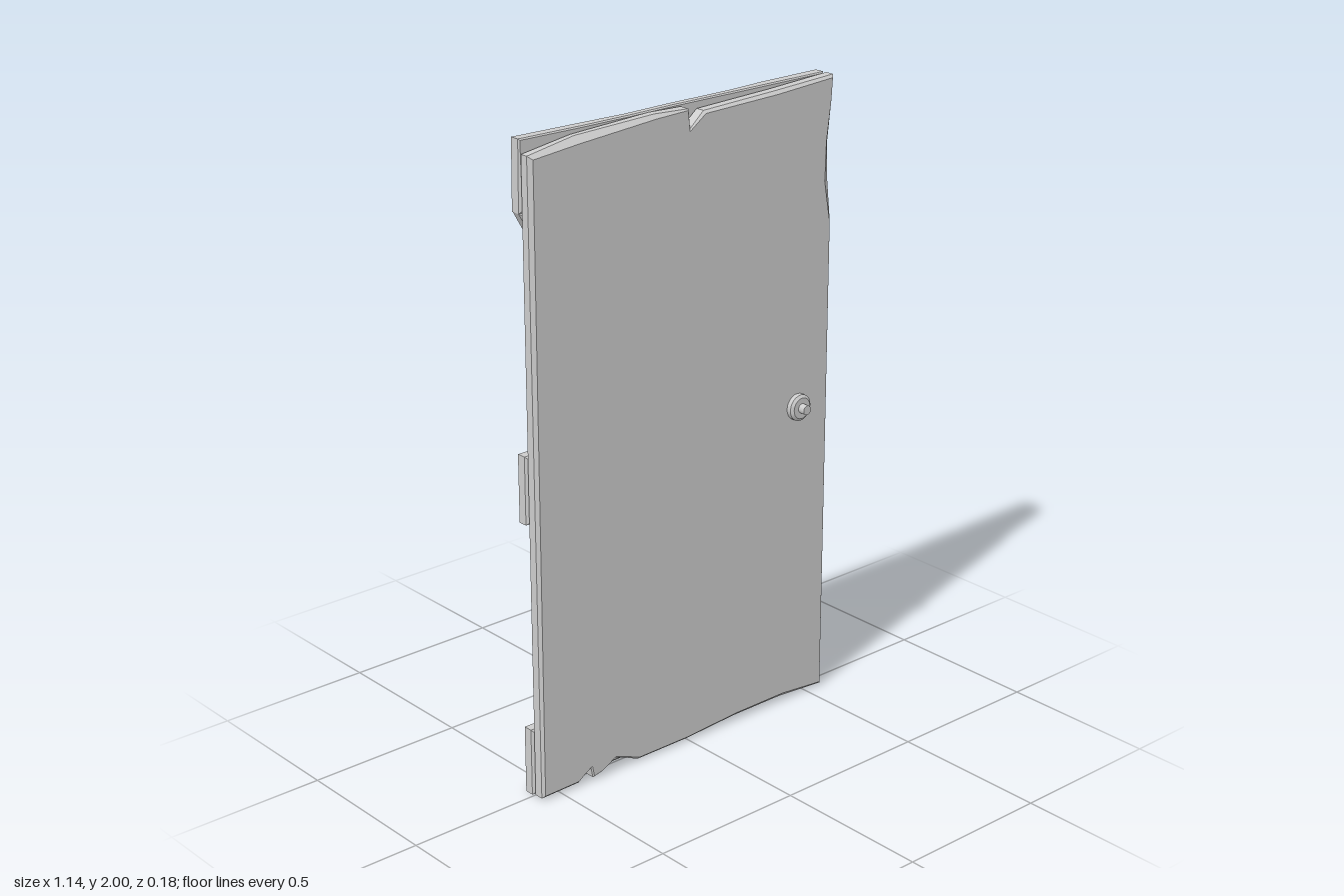
import * as THREE from 'three';
import { toCreasedNormals } from 'three/addons/utils/BufferGeometryUtils.js';

const grey = new THREE.MeshStandardMaterial({ color: 0xcccccc });
grey.name = 'plain grey';

// Board from a counter-clockwise outline of [x, y, frontWear, backWear];
// wear is the width of the chamfer at that corner.
function board(name, outline, z0, z1, edge = 0.008) {
  const n = outline.length;
  const inward = outline.map(([x, y], i) => {
    const p = outline[(i + n - 1) % n], q = outline[(i + 1) % n];
    const a = new THREE.Vector2(-(y - p[1]), x - p[0]).normalize();
    const b = new THREE.Vector2(-(q[1] - y), q[0] - x).normalize();
    return a.clone().add(b).divideScalar(Math.max(0.5, 1 + a.dot(b)));
  });
  const depth = (w) => Math.min(w, (z1 - z0) * 0.47);
  const ring = (wearIndex, inset, z, dir) => outline.map((p, i) => {
    const w = p[wearIndex] ?? edge;
    const s = inset ? w : 0;
    return [p[0] + inward[i].x * s, p[1] + inward[i].y * s, inset ? z : z + dir * depth(w)];
  });
  const rings = [ring(3, true, z0, 1), ring(3, false, z0, 1), ring(2, false, z1, -1), ring(2, true, z1, -1)];
  const index = [];
  for (let k = 0; k < 3; k++) {
    for (let i = 0; i < n; i++) {
      const j = (i + 1) % n, a = k * n + i, b = k * n + j;
      index.push(a, b, b + n, a, b + n, a + n);
    }
  }
  // Flat faces front and back
  const cap = (r) => THREE.ShapeUtils.triangulateShape(r.map((p) => new THREE.Vector2(p[0], p[1])), []);
  for (const [a, b, c] of cap(rings[3])) index.push(a + 3 * n, b + 3 * n, c + 3 * n);
  for (const [a, b, c] of cap(rings[0])) index.push(c, b, a);
  const g = new THREE.BufferGeometry();
  g.setAttribute('position', new THREE.Float32BufferAttribute(rings.flat(2), 3));
  g.setIndex(index);
  const mesh = new THREE.Mesh(toCreasedNormals(g, 0.5), grey);
  mesh.name = name;
  return mesh;
}

export function createModel() {
  const door = new THREE.Group();
  door.name = 'door';
  const F = 0.045, B = -0.045;

  // Front panel with chipped top and bottom edges
  door.add(board('frontPanel', [
    [-0.57, 0.006], [-0.43, 0.008], [-0.405, 0.03, 0.005], [-0.385, 0.042, 0.004],
    [-0.378, 0.008, 0.004], [-0.34, 0.015, 0.005], [-0.29, 0.042, 0.005], [-0.25, 0.028, 0.005],
    [-0.2, 0.004], [0, 0.004], [0.2, 0.012, 0.012], [0.4, 0.01, 0.015], [0.57, 0.002],
    [0.57, 1.55], [0.568, 1.68, 0.03], [0.565, 1.8, 0.024], [0.57, 1.93, 0.012],
    [0.57, 2, 0.008], [0.34, 1.988, 0.01], [0.06, 1.978, 0.008], [0.006, 1.935, 0.004],
    [0, 1.994, 0.004], [-0.12, 1.998, 0.012], [-0.4, 1.985, 0.02], [-0.57, 1.96, 0.012],
  ], 0, F));

  // Back rails with worn edges
  door.add(board('topRail', [
    [-0.57, 1.79], [0.57, 1.79], [0.57, 2, 0.004, 0.01], [0.35, 2, 0.004, 0.012],
    [0.22, 2, 0.004, 0.03], [0.08, 2, 0.004, 0.024], [-0.02, 2, 0.004, 0.05],
    [-0.18, 1.998, 0.004, 0.03], [-0.35, 1.998, 0.004, 0.014], [-0.57, 2, 0.004, 0.012],
  ], B, 0));
  door.add(board('middleRail', [
    [-0.57, 0.87], [0.57, 0.87], [0.57, 1.29], [0.33, 1.29], [0.33, 1.08],
    [0.26, 1.08, 0.004, 0.024], [0.18, 1.08, 0.004, 0.02], [0.1, 1.08, 0.004, 0.03],
    [0, 1.08, 0.004, 0.012], [-0.57, 1.08],
  ], B, 0));
  door.add(board('bottomRail', [
    [-0.57, 0], [-0.2, 0], [0.1, 0, 0.008, 0.01], [0.36, 0.002, 0.008, 0.02], [0.57, 0.01, 0.008, 0.035],
    [0.57, 0.215], [0.42, 0.215, 0.004, 0.012], [0.25, 0.215, 0.004, 0.03],
    [0.1, 0.215, 0.004, 0.025], [-0.06, 0.215, 0.004, 0.045], [-0.16, 0.215, 0.004, 0.03],
    [-0.24, 0.215, 0.004, 0.038], [-0.36, 0.215, 0.004, 0.012], [-0.57, 0.215],
  ], B, 0));

  // Diagonal braces, each with a nick along its edge
  door.add(board('upperBrace', [
    [-0.16, 1.08], [0.085, 1.08], [0.03, 1.178], [0.0, 1.231, 0.004, 0.02],
    [-0.035, 1.293], [-0.31, 1.79], [-0.57, 1.79],
  ], B + 0.004, 0));
  door.add(board('lowerBrace', [
    [0.33, 0.215], [0.57, 0.215], [0.5, 0.342], [0.475, 0.388, 0.004, 0.03],
    [0.445, 0.442], [0.21, 0.87], [-0.035, 0.87],
  ], B + 0.004, 0));

  // Round knob running through the door, the same on both sides
  const half = [[0.033, 0.067], [0.042, 0.06], [0.042, 0.04]];
  const pin = [[0, 0.09], [0.015, 0.09], [0.015, 0.067]];
  const side = [...pin, ...half];
  const profile = [...side.map(([r, y]) => [r, -y]), ...side.slice().reverse()]
    .map(([r, y]) => new THREE.Vector2(r, y));
  const knob = new THREE.Mesh(toCreasedNormals(new THREE.LatheGeometry(profile, 24), 0.5), grey);
  knob.name = 'knob';
  knob.rotation.x = Math.PI / 2;
  knob.position.set(0.44, 0.99, 0);
  door.add(knob);

  return door;
}
